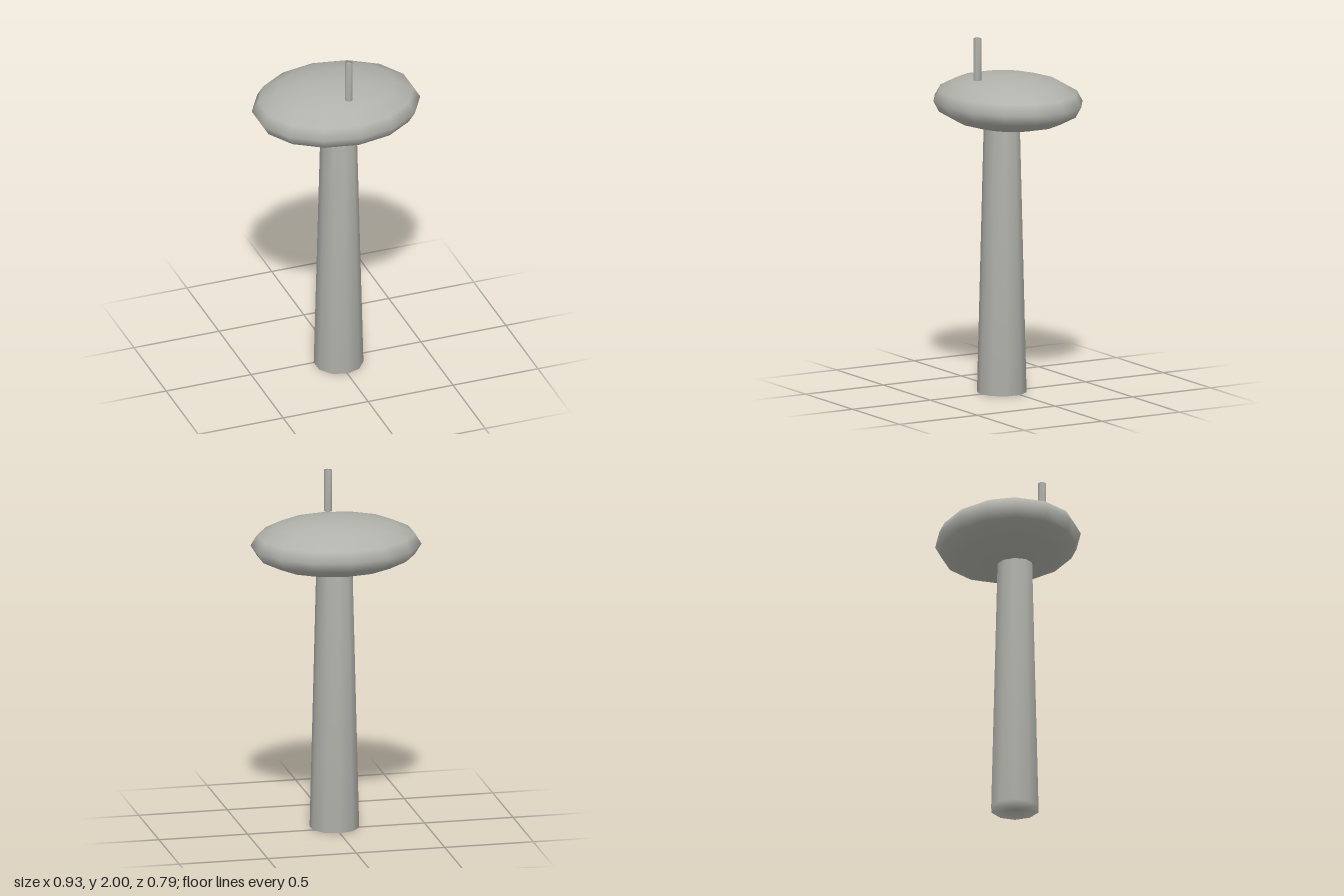
import * as THREE from 'three';
import { mergeVertices } from 'three/addons/utils/BufferGeometryUtils.js';

// Weld seams and caps so the shading flows over every edge
function weld(geometry) {
  geometry.deleteAttribute('uv');
  geometry.deleteAttribute('normal');
  const welded = mergeVertices(geometry, 1e-4);
  welded.computeVertexNormals();
  return welded;
}

export function createModel() {
  const group = new THREE.Group();
  const stone = new THREE.MeshStandardMaterial({ color: 0xb2b2ac });
  stone.name = 'warm grey';

  function add(name, geometry, x, y, z) {
    const mesh = new THREE.Mesh(weld(geometry), stone);
    mesh.name = name;
    mesh.position.set(x, y, z);
    group.add(mesh);
  }

  // Tapered column, set slightly forward of the centre
  const columnTop = 1.5;
  add('column', new THREE.CylinderGeometry(0.1, 0.137, columnTop, 10), 0, columnTop / 2, 0.04);

  // Flattened oval head with corners on the front and back axis
  const head = new THREE.SphereGeometry(1, 14, 8);
  head.rotateY(Math.PI / 2);
  head.scale(0.475, 0.153, 0.395);
  add('head', head, 0, 1.628, 0);

  // Thin mast near the front of the head
  const mastBottom = 1.765;
  add('mast', new THREE.CylinderGeometry(0.023, 0.023, 2 - mastBottom, 8), 0, (2 + mastBottom) / 2, 0.197);

  return group;
}
